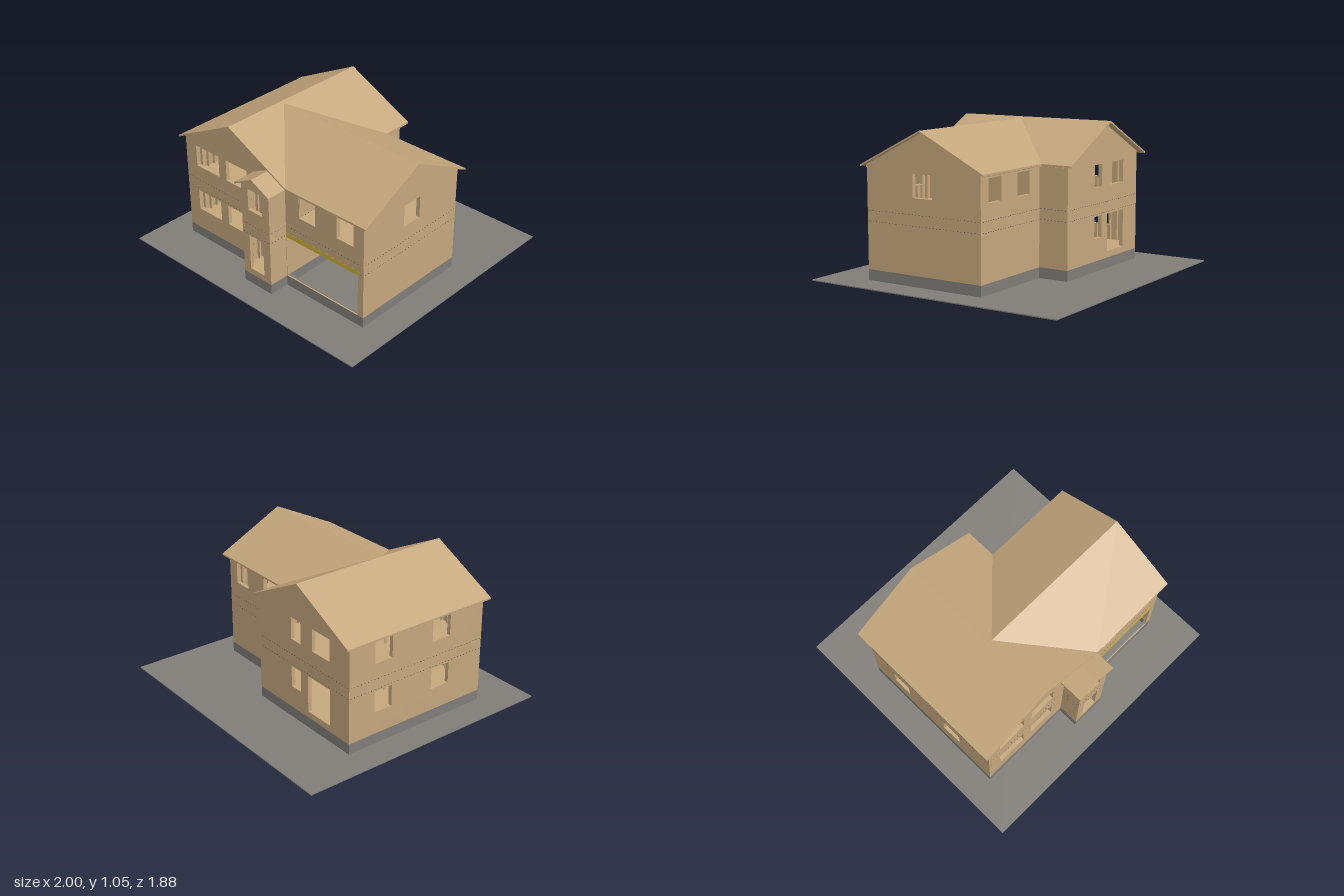
import * as THREE from 'three';
import { mergeGeometries } from 'three/addons/utils/BufferGeometryUtils.js';

const mat = (name, color) => Object.assign(new THREE.MeshStandardMaterial({ color }), { name });

export function createModel() {
  const wood = mat('wood', 0xc4a67c);
  const concrete = mat('concrete', 0x807d78);
  const beamYellow = mat('beam yellow', 0xc8ae30);
  const nailBlue = mat('nail blue', 0x3c3558);
  const model = new THREE.Group();
  model.name = 'framedHouse';

  const add = (name, geo, material, parent = model) => {
    const m = new THREE.Mesh(geo, material);
    m.name = name;
    parent.add(m);
    return m;
  };
  // box given by its limits
  const box = (x0, x1, y0, y1, z0, z1) => new THREE.BoxGeometry(x1 - x0, y1 - y0, z1 - z0)
    .translate((x0 + x1) / 2, (y0 + y1) / 2, (z0 + z1) / 2);
  const rect = (C, u0, u1, v0, v1) => {
    const s = new C();
    s.moveTo(u0, v0); s.lineTo(u1, v0); s.lineTo(u1, v1); s.lineTo(u0, v1); s.closePath();
    return s;
  };
  const extrude = (shape, depth) => new THREE.ExtrudeGeometry(shape, { depth, bevelEnabled: false });

  const T = 0.008, D = 0.02, BASE = 0.105, STEP = 0.054, W = 0.006;
  const FLOORS = [[0.15, 0.415], [0.495, 0.785]];

  // studs of one wall, cut around its openings
  function studs(u0, u1, holes, z0, z1) {
    const parts = [];
    const stud = (u) => {
      for (const [a, b] of FLOORS) {
        const h = holes.find((o) => u > o[0] && u < o[1] && o[2] < b && o[3] > a);
        const spans = h ? [[a, h[2]], [h[3], b]] : [[a, b]];
        for (const [p, q] of spans) if (q - p > 0.01) parts.push(box(u - W / 2, u + W / 2, p, q, z0, z1));
      }
    };
    for (let u = u0 + 0.03; u < u1 - 0.02; u += STEP) stud(u);
    for (const h of holes) {
      if (h[1] - h[0] > 0.5) continue;
      for (const u of [h[0] - W / 2, h[1] + W / 2]) parts.push(box(u - W / 2, u + W / 2, h[2], h[3], z0, z1));
      parts.push(box(h[0], h[1], h[2] - W, h[2], z0, z1), box(h[0], h[1], h[3], h[3] + W, z0, z1));
    }
    return mergeGeometries(parts);
  }

  // sheathed wall: axis is the direction it runs in, face the sign of its outer side
  function wall(name, axis, at, face, outline, holes = [], nails = true) {
    const g = new THREE.Group();
    g.name = name;
    const inward = axis === 'x' ? -face : face;
    const shape = new THREE.Shape(outline.map(([u, v]) => new THREE.Vector2(u, v)));
    for (const h of holes) shape.holes.push(rect(THREE.Path, ...h));
    add('sheathing', extrude(shape, T).translate(0, 0, inward > 0 ? 0 : -T), wood, g);
    const us = outline.map((p) => p[0]);
    const u0 = Math.min(...us), u1 = Math.max(...us);
    const [z0, z1] = inward > 0 ? [T, T + D] : [-T - D, -T];
    add('studs', studs(u0, u1, holes, z0, z1), wood, g);
    if (nails) {
      const dots = [];
      for (const y of [0.425, 0.497]) {
        for (let u = u0 + 0.015; u < u1 - 0.01; u += 0.027) {
          if (holes.some((h) => u > h[0] && u < h[1] && y > h[2] && y < h[3])) continue;
          dots.push(box(u - 0.003, u + 0.003, y - 0.0015, y + 0.0015, -0.001, 0.001));
        }
      }
      add('nailRow', mergeGeometries(dots), nailBlue, g);
    }
    if (axis === 'x') g.position.z = at;
    else { g.rotation.y = -Math.PI / 2; g.position.x = at; }
    model.add(g);
  }
  const flat = (u0, u1, top) => [[u0, BASE], [u1, BASE], [u1, top], [u0, top]];
  const gable = (u0, u1, mid, peak) => [[u0, BASE], [u1, BASE], [u1, peak - (u1 - mid) / 2],
    [mid, peak], [u0, peak - (mid - u0) / 2]];
  const lower = (a, b) => [a, b, 0.26, 0.41];
  const upper = (a, b) => [a, b, 0.605, 0.76];
  const both = (a, b) => [lower(a, b), upper(a, b)];

  // main walls
  wall('frontWall', 'x', 0.62, 1,
    [[-0.8, BASE], [0.8, BASE], [0.8, 0.797], [0.137, 0.797], [-0.337, 1.034], [-0.8, 0.8025]],
    [...both(-0.7, -0.48), ...both(-0.41, -0.214), [-0.07, 0.1, 0.15, 0.41], upper(-0.07, 0.1),
      upper(0.257, 0.396), upper(0.578, 0.717), [0.14, 0.755, 0.107, 0.444]]);
  wall('backWallLeft', 'x', -0.493, -1, gable(-0.8, 0.137, -0.337, 1.034),
    [upper(-0.605, -0.43), upper(-0.31, -0.21), lower(-0.31, -0.21), [-0.61, -0.385, 0.15, 0.41]]);
  wall('backWallRight', 'x', -0.277, -1, flat(0.137, 0.8, 0.8),
    [upper(0.257, 0.396), upper(0.578, 0.717)]);
  wall('sideWallRight', 'z', -0.8, -1, flat(-0.493, 0.62, 0.8), [...both(-0.29, -0.15), ...both(0.185, 0.335)]);
  wall('sideWallLeft', 'z', 0.8, 1, gable(-0.277, 0.62, 0.166, 1.024), [upper(0.096, 0.247)]);
  wall('garageDividingWall', 'z', 0.137, 1, flat(-0.493, 0.612, 0.79));

  // entry tower
  wall('entryFront', 'x', 0.765, 1, gable(-0.11, 0.137, 0.012, 0.848),
    [[-0.05, 0.075, 0.15, 0.41], upper(-0.05, 0.075)]);
  wall('entrySideRight', 'z', -0.11, -1, flat(0.62, 0.765, 0.785));
  wall('entrySideLeft', 'z', 0.137, 1, flat(0.62, 0.765, 0.783));

  // garage header
  add('garageBeam', box(0.137, 0.757, 0.412, 0.444, 0.595, 0.621), beamYellow);

  // bare stud partition with its posts
  const partition = add('partition', studs(-0.77, 0.12, [], -D / 2, D / 2), wood);
  partition.position.z = 0.08;

  // floors
  add('groundFloor', box(-0.79, 0.127, 0.107, 0.15, -0.483, 0.61), wood);
  add('entryFloor', box(-0.1, 0.127, 0.107, 0.15, 0.61, 0.755), wood);
  add('upperFloorMain', box(-0.79, 0.127, 0.425, 0.495, -0.483, 0.61), wood);
  add('upperFloorWing', box(0.137, 0.79, 0.445, 0.495, -0.267, 0.61), wood);

  // ceiling joists whose tails show under the eaves
  const joists = [];
  for (let z = -0.46; z < 0.61; z += STEP) joists.push(box(-0.832, 0.16, 0.775, 0.79, z - W / 2, z + W / 2));
  for (let x = 0.19; x < 0.79; x += STEP) joists.push(box(x - W / 2, x + W / 2, 0.775, 0.79, -0.305, 0.64));
  add('ceilingJoists', mergeGeometries(joists), wood);

  // roofs: a thin chevron pushed along the ridge
  const chevron = (mid, peak, half0, half1) => new THREE.Shape([
    [mid - half0, peak - half0 / 2], [mid - half0, peak - half0 / 2 - 0.012], [mid, peak - 0.012],
    [mid + half1, peak - half1 / 2 - 0.012], [mid + half1, peak - half1 / 2], [mid, peak],
  ].map(([u, v]) => new THREE.Vector2(u, v)));
  add('mainRoof', extrude(chevron(-0.337, 1.048, 0.503, 0.507), 1.187).translate(0, 0, -0.54), wood);
  add('entryRoof', extrude(chevron(0.012, 0.862, 0.157, 0.15), 0.17).translate(0, 0, 0.62), wood);

  // wing roof, its inner end cut along the valleys
  const wing = extrude(chevron(0.166, 1.037, 0.481, 0.481), 1).rotateY(-Math.PI / 2);
  const p = wing.attributes.position;
  for (let i = 0; i < p.count; i++) {
    p.setX(i, p.getX(i) > -0.5 ? 0.835 : -0.315 + Math.abs(p.getZ(i) - 0.166));
  }
  wing.computeVertexNormals();
  add('wingRoof', wing, wood);

  // foundation rings
  const ring = (name, x0, x1, z0, z1) => {
    const s = rect(THREE.Shape, x0, x1, -z1, -z0);
    s.holes.push(rect(THREE.Path, x0 + 0.025, x1 - 0.025, -z1 + 0.025, -z0 - 0.025));
    add(name, extrude(s, BASE).rotateX(-Math.PI / 2), concrete);
  };
  ring('foundationMain', -0.8, 0.137, -0.493, 0.62);
  ring('foundationWing', 0.112, 0.8, -0.277, 0.62);
  ring('foundationEntry', -0.11, 0.137, 0.595, 0.765);
  for (const x of [-0.51, -0.2]) {
    add('footingPad', new THREE.CylinderGeometry(0.015, 0.015, BASE, 16).translate(x, BASE / 2, 0.08), concrete);
  }

  // ground plate
  add('ground', box(-1, 1, 0.025, 0.032, -0.94, 0.94), concrete);
  return model;
}
